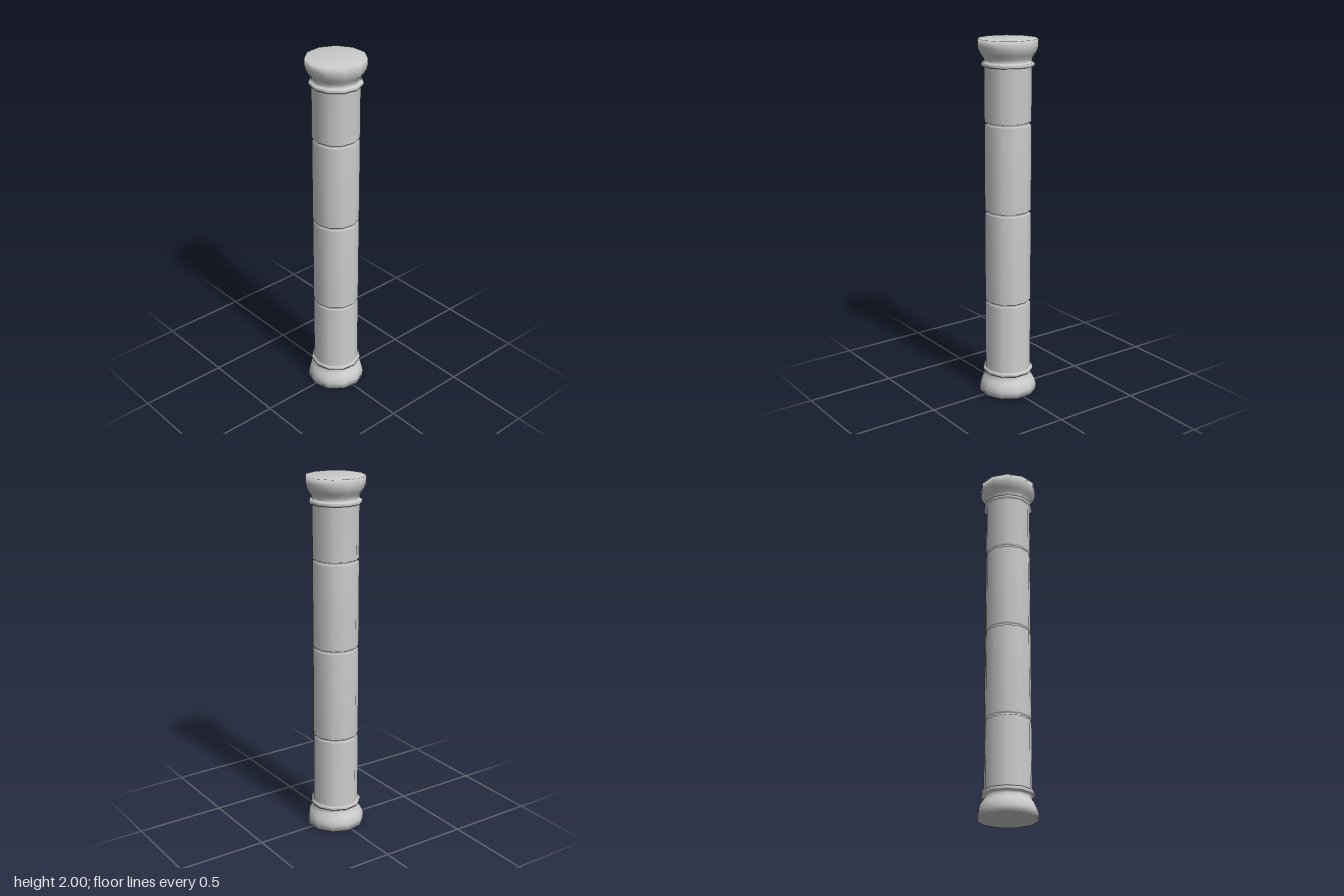
import * as THREE from 'three';

const SIDES = 11;
const HEIGHT = 2;
const SHAFT = 0.128;

export function createModel() {
  const group = new THREE.Group();
  group.name = 'column';

  // Base moulding and collar ring, as [radius, height] from the ground up
  const base = [
    [0, 0], [0.162, 0], [0.162, 0.035], [0.157, 0.058], [0.146, 0.078],
    [0.134, 0.095], [0.128, 0.11], [0.129, 0.122],
    [0.141, 0.124], [0.143, 0.129], [0.143, 0.138], [0.141, 0.144], [SHAFT, 0.146],
  ];
  // The capital mirrors the base
  const capital = base.map(([r, y]) => [r, HEIGHT - y]).reverse();

  // Narrow grooves between the four drums of the shaft
  const grooves = [0.541, 1.06, 1.551].flatMap((y) => [
    [SHAFT, y - 0.01], [0.118, y - 0.005], [0.118, y + 0.005], [SHAFT, y + 0.01],
  ]);

  // One continuous turned profile keeps the soft shading across every joint
  const profile = [...base, ...grooves, ...capital].map(([r, y]) => new THREE.Vector2(r, y));
  const geometry = new THREE.LatheGeometry(profile, SIDES, -Math.PI / 2);
  const column = new THREE.Mesh(geometry, new THREE.MeshStandardMaterial({ color: 0xcccccc }));
  column.name = 'turnedColumn';
  // An odd number of sides is off centre by half the gap between corner and flat
  column.position.x = 0.162 * (1 - Math.cos(Math.PI / SIDES)) / 2;
  group.add(column);

  return group;
}
